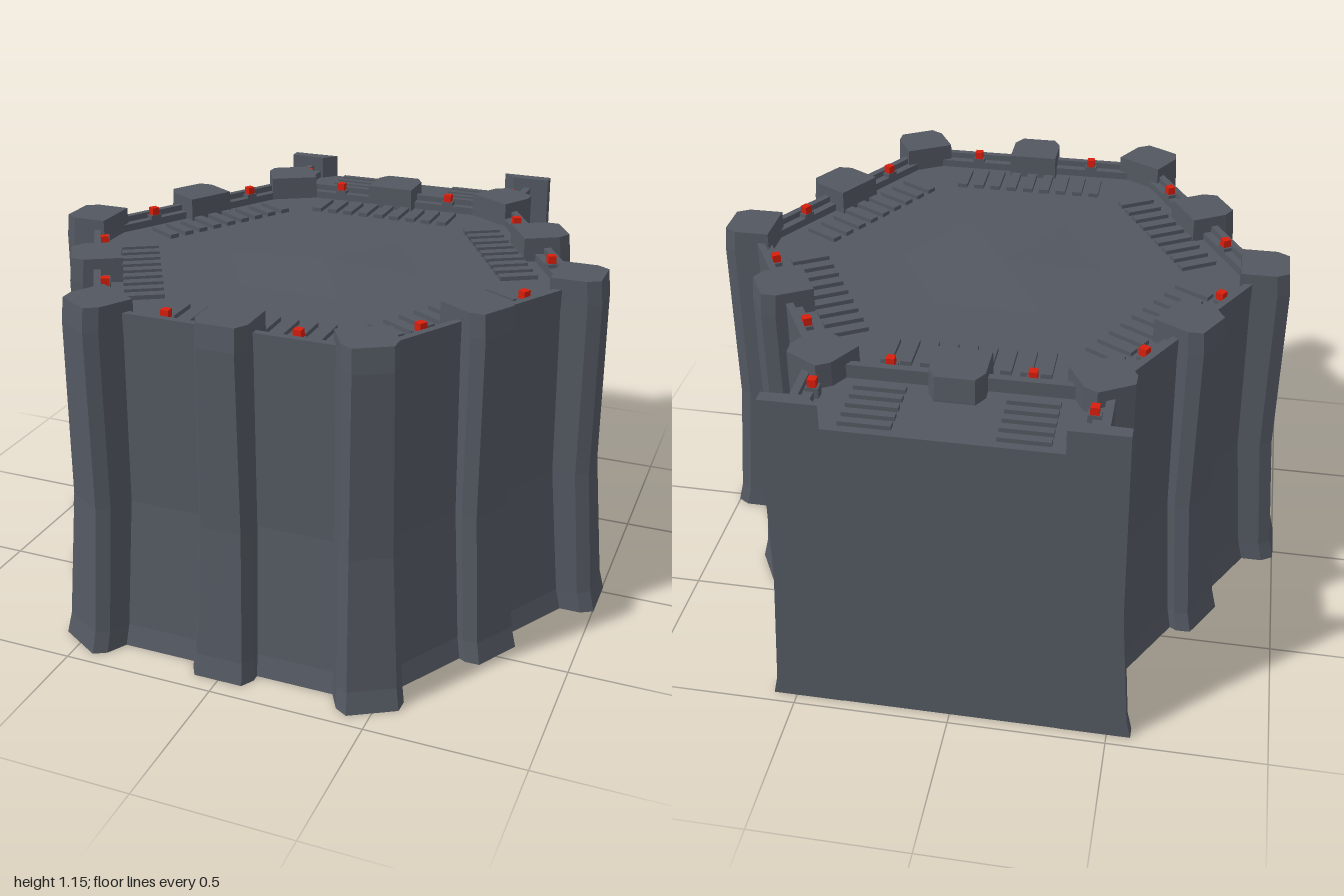
import * as THREE from 'three';

const stone = new THREE.MeshStandardMaterial({ color: 0x535861 });
stone.name = 'slate grey';
const red = new THREE.MeshStandardMaterial({ color: 0xd81e0c });
red.name = 'signal red';

const FLOOR = 1.075, RAIL = 1.12, TOP = 1.155, CENTRE_Z = 0.05;

function add(parent, name, geometry, material = stone, x = 0, y = 0, z = 0) {
  const mesh = new THREE.Mesh(geometry, material);
  mesh.name = name;
  mesh.position.set(x, y, z);
  parent.add(mesh);
  return mesh;
}

// Flat-faced solid through convex sections [{ y, pts: [[x, z], ...] }], bottom to top
function loft(sections) {
  const pos = [];
  const put = (s, i) => pos.push(s.pts[i][0], s.y, s.pts[i][1]);
  const n = sections[0].pts.length;
  for (let k = 0; k < sections.length - 1; k++) {
    const a = sections[k], b = sections[k + 1];
    for (let i = 0; i < n; i++) {
      const j = (i + 1) % n;
      put(a, i); put(b, i); put(a, j);
      put(a, j); put(b, i); put(b, j);
    }
  }
  const low = sections[0], high = sections[sections.length - 1];
  for (let i = 1; i < n - 1; i++) {
    put(low, 0); put(low, i); put(low, i + 1);
    put(high, 0); put(high, i + 1); put(high, i);
  }
  const g = new THREE.BufferGeometry();
  g.setAttribute('position', new THREE.Float32BufferAttribute(pos, 3));
  g.computeVertexNormals();
  return g;
}

// Box given by its bounds
function block(x0, x1, y0, y1, z0, z1) {
  const g = new THREE.BoxGeometry(x1 - x0, y1 - y0, z1 - z0);
  return g.translate((x0 + x1) / 2, (y0 + y1) / 2, (z0 + z1) / 2);
}

// Hexagon with flat sides at +z and -z
function hexagon(apothem) {
  const pts = [];
  for (let i = 0; i < 6; i++) {
    const a = i * Math.PI / 3, r = apothem / Math.cos(Math.PI / 6);
    pts.push([r * Math.cos(a), r * Math.sin(a)]);
  }
  return pts;
}

// Flared buttress pointing to +z: levels are [y, outer reach, half width]
function buttress(inner, levels) {
  return loft(levels.map(([y, out, w]) => ({
    y, pts: [[w, inner], [w, out - 0.04], [w - 0.024, out],
      [-w + 0.024, out], [-w, out - 0.04], [-w, inner]]
  })));
}

function addLamp(parent, x, z) {
  add(parent, 'lampBase', new THREE.BoxGeometry(0.04, 0.035, 0.03), stone, x, 1.095, z);
  add(parent, 'lamp', new THREE.BoxGeometry(0.026, 0.026, 0.026), red, x, 1.125, z);
}

export function createModel() {
  const model = new THREE.Group();
  model.name = 'hexagonalPlatform';

  const keep = new THREE.Group();
  keep.name = 'hexagonalKeep';
  keep.position.z = CENTRE_Z;
  model.add(keep);

  // Flared core with the floor on top
  const wall = [[0, 0.825], [0.07, 0.808], [0.5, 0.765], [FLOOR, 0.75]];
  add(keep, 'core', loft(wall.map(([y, a]) => ({ y, pts: hexagon(a) }))));

  // Central hatch of six shallow leaves
  const hatch = new THREE.CylinderGeometry(0.001, 0.34, 0.014, 6, 1).rotateY(Math.PI / 6).toNonIndexed();
  hatch.computeVertexNormals();
  add(keep, 'hatch', hatch, stone, 0, FLOOR + 0.007, 0);

  const midLevels = [[0, 0.89, 0.104], [0.07, 0.873, 0.1], [0.5, 0.833, 0.09],
    [1.08, 0.828, 0.084], [TOP, 0.82, 0.083]];
  const cornerLevels = midLevels.map(([y, r, w]) => [y, r + 0.113, w]);
  const rearLevels = cornerLevels.map(([y, r, w]) => [y, Math.min(r, 0.93) - 0.015, w]);
  const midGeometry = buttress(0.66, midLevels);
  const cornerGeometry = buttress(0.78, cornerLevels);
  const rearGeometry = buttress(0.76, rearLevels);

  for (let k = 0; k < 6; k++) {
    const side = new THREE.Group();
    side.name = 'side' + (k + 1);
    side.rotation.y = k * Math.PI / 3;
    keep.add(side);

    add(side, 'middleButtress', midGeometry);
    const rear = k === 2 || k === 3;
    add(side, 'cornerButtress', rear ? rearGeometry : cornerGeometry).rotation.y = Math.PI / 6;

    // Stepped parapets with lamps on either side of the middle buttress
    for (const s of [-1, 1]) {
      const x0 = s < 0 ? -0.4 : 0.08, x1 = s < 0 ? -0.08 : 0.4;
      add(side, 'parapet', block(x0, x1, FLOOR - 0.02, RAIL, 0.728, 0.751));
      add(side, 'parapetStep', block(x0, x1, FLOOR - 0.02, 1.1, 0.7, 0.73));
      addLamp(side, s * 0.21, 0.715);
    }

    // Ladder of floor slats
    for (let i = -4; i <= 4; i++) {
      add(side, 'floorSlat', new THREE.BoxGeometry(0.034, 0.014, 0.125), stone, i * 0.06, FLOOR + 0.007, 0.597);
    }
  }

  // Rear dock with a flat back
  const dock = new THREE.Group();
  dock.name = 'rearDock';
  model.add(dock);
  const dockLevels = [[0, 0.51], [0.07, 0.5], [0.5, 0.465], [FLOOR, 0.455]];
  add(dock, 'dockBody', loft(dockLevels.map(([y, w]) => ({
    y, pts: [[w, -0.964], [w, -0.62], [-w, -0.62], [-w, -0.964]]
  }))));

  const postLevels = [[0, 0.575], [0.07, 0.56], [0.5, 0.53], [TOP, 0.52]];
  for (const s of [-1, 1]) {
    // End post, bevelled toward the opening
    add(dock, 'endPost', loft(postLevels.map(([y, w]) => {
      const pts = [[w, -0.965], [w, -0.925], [0.39, -0.92], [0.345, -0.965]];
      return { y, pts: s > 0 ? pts : pts.map(([x, z]) => [-x, z]).reverse() };
    })));

    // Side parapet and lamp
    const side = (a, b) => s > 0 ? [a, b] : [-b, -a];
    add(dock, 'dockParapet', block(...side(0.43, 0.455), FLOOR - 0.02, RAIL, -0.93, -0.74));
    add(dock, 'dockParapetStep', block(...side(0.4, 0.435), FLOOR - 0.02, 1.1, -0.93, -0.74));
    addLamp(dock, s * 0.405, -0.81);

    // Slats across the dock floor
    for (let i = 0; i < 5; i++) {
      add(dock, 'dockSlat', new THREE.BoxGeometry(0.155, 0.014, 0.025), stone, s * 0.225, FLOOR + 0.007, -0.925 + i * 0.045);
    }
  }

  return model;
}
